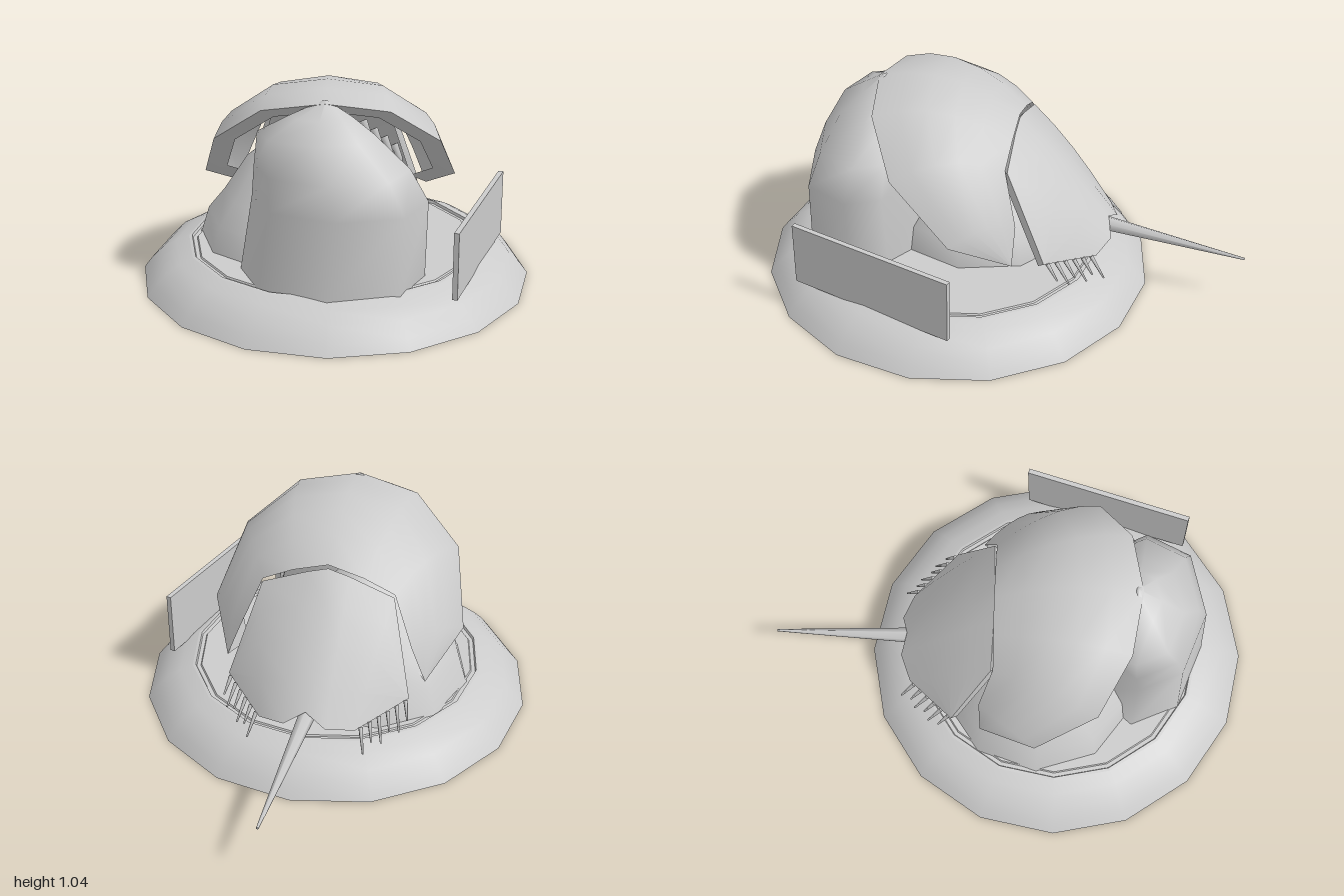
import * as THREE from 'three';

const mat = new THREE.MeshStandardMaterial({ color: 0xcccccc, side: THREE.DoubleSide });
const flat = new THREE.MeshStandardMaterial({ color: 0xcccccc, side: THREE.DoubleSide, flatShading: true });

function add(parent, name, geo, material = mat) {
  const m = new THREE.Mesh(geo, material);
  m.name = name;
  parent.add(m);
  return m;
}

// Surface through rows of equally many points
function surface(rows, closed = false) {
  const n = rows[0].length, index = [];
  for (let r = 0; r < rows.length - 1; r++) {
    for (let c = 0; c < (closed ? n : n - 1); c++) {
      const a = r * n + c, b = r * n + (c + 1) % n;
      index.push(a, b, a + n, b, b + n, a + n);
    }
  }
  const g = new THREE.BufferGeometry();
  g.setAttribute('position', new THREE.Float32BufferAttribute(rows.flat(2), 3));
  g.setIndex(index);
  g.computeVertexNormals();
  return g;
}

// Half row (centre to side) mirrored to a full row
const mirror = half => [...half.slice(1).reverse().map(([x, y, z]) => [-x, y, z]), ...half];

// Blend from one edge to another with an upward and outward bulge
function shell(edgeA, edgeB, bulge, steps) {
  const rows = [];
  for (let i = 0; i <= steps; i++) {
    const s = i / steps, k = 4 * s * (1 - s);
    rows.push(mirror(edgeA.map((p, j) => {
      const q = p.map((v, d) => v + (edgeB[j][d] - v) * s);
      return [q[0] * (1 + k * bulge[j] * 0.6), q[1] + k * bulge[j], q[2]];
    })));
  }
  return surface(rows);
}

// Rock: one ground outline repeated at layers [y, centreX, centreZ, scale]
const rock = (outline, layers) => surface(layers.map(([y, cx, cz, s]) =>
  outline.map(([x, z]) => [cx + x * s, y, cz + z * s])), true);

// Tapered spike between two points
function spike(parent, name, from, to, r, tip = 0.15, sides = 5) {
  const a = new THREE.Vector3(...from), d = new THREE.Vector3(...to).sub(a);
  const m = add(parent, name, new THREE.CylinderGeometry(r * tip, r, d.length(), sides));
  m.position.copy(a).addScaledVector(d, 0.5);
  m.quaternion.setFromUnitVectors(new THREE.Vector3(0, 1, 0), d.normalize());
}

export function createModel() {
  const model = new THREE.Group();

  // Hollow round stand with a raised lip and a floor with a centre hole
  const slope = [[0.967, 0], [0.93, 0.05], [0.87, 0.11], [0.8, 0.15], [0.735, 0.175]];
  const floor = [[0.735, 0.175], [0.72, 0.178], [0.715, 0.165], [0.695, 0.165], [0.69, 0.172], [0.11, 0.172]];
  const lathe = pts => new THREE.LatheGeometry(pts.map(p => new THREE.Vector2(...p)), 16);
  add(model, 'standSlope', lathe(slope)).position.set(-0.033, 0, 0.005);
  add(model, 'standFloor', lathe(floor), flat).position.set(-0.033, 0, 0.005);

  // Rocks
  const tallOutline = [[0.365, 0.12], [0.3, 0.3], [0.055, 0.38], [-0.235, 0.2],
    [-0.375, -0.12], [-0.28, -0.36], [0, -0.38], [0.3, -0.2]];
  add(model, 'tallRock', rock(tallOutline, [
    [0.165, -0.335, 0.33, 1], [0.55, -0.315, 0.36, 0.94], [0.7, -0.33, 0.32, 0.83],
    [0.86, -0.37, 0.25, 0.62], [0.94, -0.34, 0.25, 0.32], [1.01, -0.32, 0.25, 0.02], [1.01, -0.32, 0.25, 0]]));
  const lowOutline = Array.from({ length: 10 }, (_, i) => {
    const a = 0.8 - i * Math.PI / 5;
    return [Math.cos(a), Math.sin(a)];
  });
  add(model, 'lowRock', rock(lowOutline, [
    [0.05, -0.11, -0.2, 0.55], [0.18, -0.1, -0.18, 0.5], [0.3, -0.1, -0.17, 0.47], [0.4, -0.1, -0.18, 0.38],
    [0.58, -0.1, -0.17, 0.27], [0.7, -0.11, -0.14, 0.14], [0.73, -0.11, -0.14, 0]]));

  // Blank sign plate leaning at the front right
  const sign = add(model, 'signPlate', new THREE.BoxGeometry(0.865, 0.33, 0.025), flat);
  sign.position.set(0.283, 0.317, 0.68);
  sign.rotation.y = Math.atan2(0.4, 0.76);

  // Crab climbing over the rocks, facing +z in its own frame
  const crab = new THREE.Group();
  crab.name = 'crab';
  crab.rotation.y = -Math.PI / 4;
  crab.position.set(-0.035, 0, -0.035);
  model.add(crab);

  const rim = [[0, 1.0, 0.43], [0.3, 0.95, 0.38], [0.54, 0.76, 0.23], [0.625, 0.49, -0.07], [0.49, 0.34, -0.345]];
  const back = [[0, 0.88, -0.27], [0.17, 0.83, -0.27], [0.32, 0.76, -0.27], [0.42, 0.52, -0.345], [0.49, 0.34, -0.345]];
  add(crab, 'frontShell', shell(rim, back, [0.09, 0.1, 0.08, 0.05, 0], 5));
  // Rim turned inward under the front shell
  const fold = rim.map(([x, y, z]) => [x * 0.82, y * 0.82 + 0.12, z * 0.82]);
  add(crab, 'frontShellFold', surface([mirror(rim), mirror(fold)]));

  const hinge = [[0, 0.86, -0.27], [0.1, 0.83, -0.27], [0.32, 0.75, -0.28], [0.44, 0.34, -0.49]];
  const rear = [[0, 0.36, -0.73], [0.1, 0.3, -0.76], [0.23, 0.28, -0.71], [0.44, 0.34, -0.49]];
  add(crab, 'rearShell', shell(hinge, rear, [0.02, 0.03, 0.03, 0], 4));
  // Narrow wall along the hinge edge, tucked under the front shell
  const inner = hinge.map(([x, y, z]) => [x * 0.95, y - 0.03, z + 0.03]);
  add(crab, 'rearShellEdge', surface([mirror(hinge), mirror(inner)]), flat);

  spike(crab, 'tail', [0, 0.32, -0.68], [0.04, 0.245, -1.41], 0.04, 0.15, 6);

  for (const s of [-1, 1]) {
    // Spines along the rear shell
    for (let i = 0; i < 6; i++) {
      const k = (i + 0.4) / 6, f = 0.85 + 0.25 * (i % 2);
      const p = [s * (0.44 - 0.21 * k), 0.34 - 0.06 * k, -0.49 - 0.22 * k];
      spike(crab, 'spine', p, [p[0] + s * 0.025 * f, p[1] - 0.09 * f, p[2] - 0.065 * f], 0.011, 0.4);
    }
    // Short clawed legs under the front shell
    for (let i = 0; i < 4; i++) {
      const z = 0.23 - 0.12 * i, x = s * (0.17 + 0.05 * i), y = 0.86 - 0.08 * i;
      spike(crab, 'leg', [x, y, z], [x + s * 0.03, y - 0.07, z + 0.02], 0.02, 0.7);
      for (const c of [-1, 0, 1]) {
        spike(crab, 'claw', [x + s * 0.03, y - 0.06, z + 0.02], [x + s * 0.04, y - 0.14, z + 0.02 + c * 0.03], 0.014);
      }
    }
  }
  return model;
}
